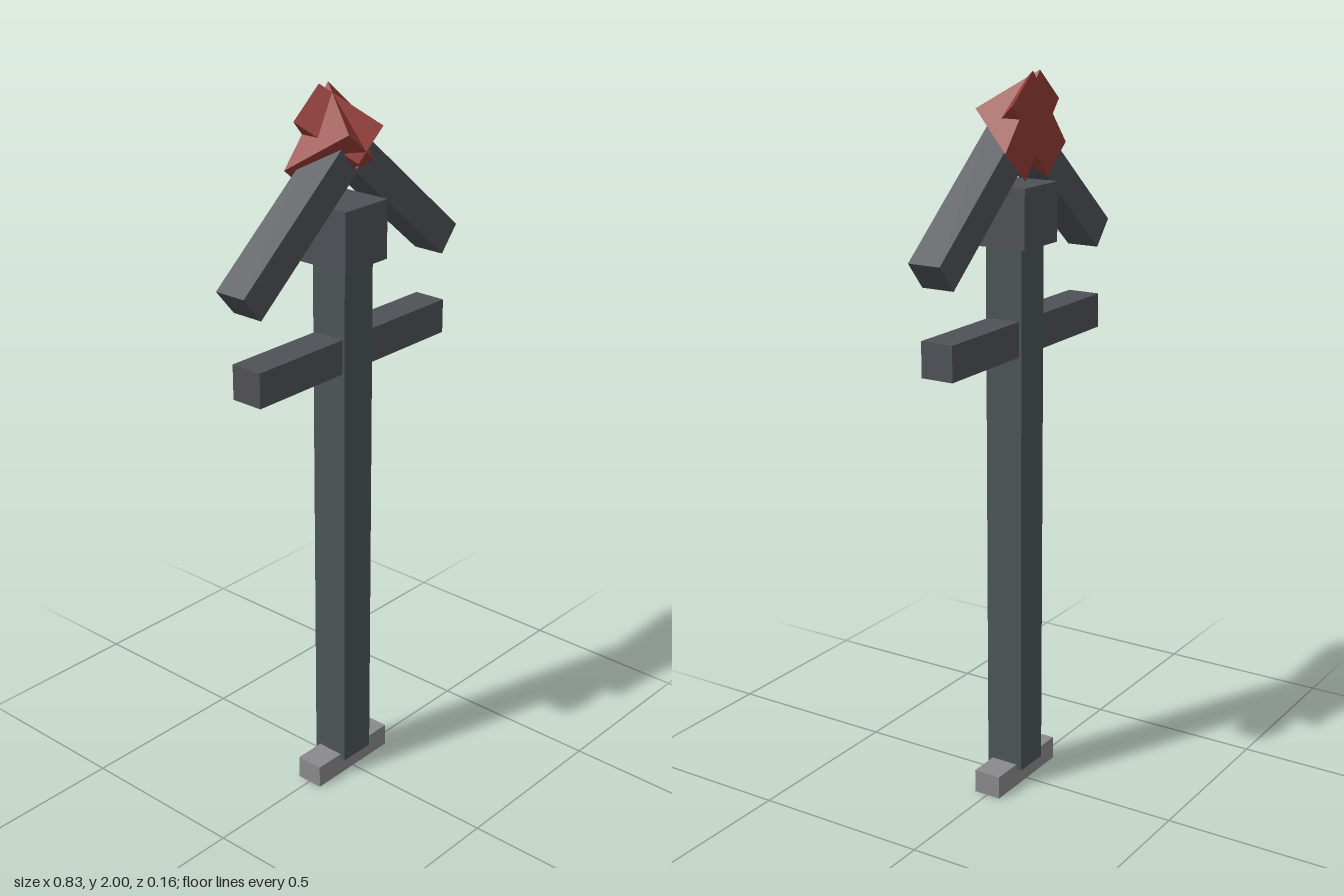
import * as THREE from 'three';

const material = (name, color) => {
  const m = new THREE.MeshStandardMaterial({ color });
  m.name = name;
  return m;
};

export function createModel() {
  const group = new THREE.Group();
  const slate = material('slate', 0x4b5457);
  const charcoal = material('charcoal', 0x4e5156);
  const grey = material('grey', 0x8a8a8c);
  const red = material('red', 0x913b34);

  const add = (name, geometry, mat, x, y, z = 0, tilt = 0) => {
    const mesh = new THREE.Mesh(geometry, mat);
    mesh.name = name;
    mesh.position.set(x, y, z);
    mesh.rotation.z = tilt;
    group.add(mesh);
  };
  const box = (w, h, d) => new THREE.BoxGeometry(w, h, d);

  // Foot, post, crossbar and the block on top of the post
  add('foot', box(0.292, 0.066, 0.08), grey, 0, 0.033);
  add('post', box(0.11, 1.5, 0.11), slate, 0, 0.8);
  add('crossbar', box(0.73, 0.096, 0.094), charcoal, 0, 1.307);
  add('postCap', box(0.162, 0.16, 0.162), charcoal, 0, 1.63);

  // Triangular wedge: flat back, ridge towards the front
  const triangle = new THREE.Shape([
    new THREE.Vector2(-0.128, 0),
    new THREE.Vector2(0.128, 0),
    new THREE.Vector2(0, 0.143),
  ]);
  const wedge = new THREE.ExtrudeGeometry(triangle, { depth: 0.124, bevelEnabled: false });
  wedge.translate(0, 0, -0.062);
  wedge.rotateX(Math.PI / 2);

  // Sloping roof bars and the two crossed wedges of the ornament
  for (const side of [1, -1]) {
    const label = side > 0 ? 'left' : 'right';
    add(label + 'RoofBar', box(0.47, 0.092, 0.094), charcoal,
      side * 0.205, 1.676, 0, -side * THREE.MathUtils.degToRad(40));
    add(label + 'OrnamentWedge', wedge, red,
      side * 0.018, 1.862, -0.065, -side * THREE.MathUtils.degToRad(50));
  }

  return group;
}
